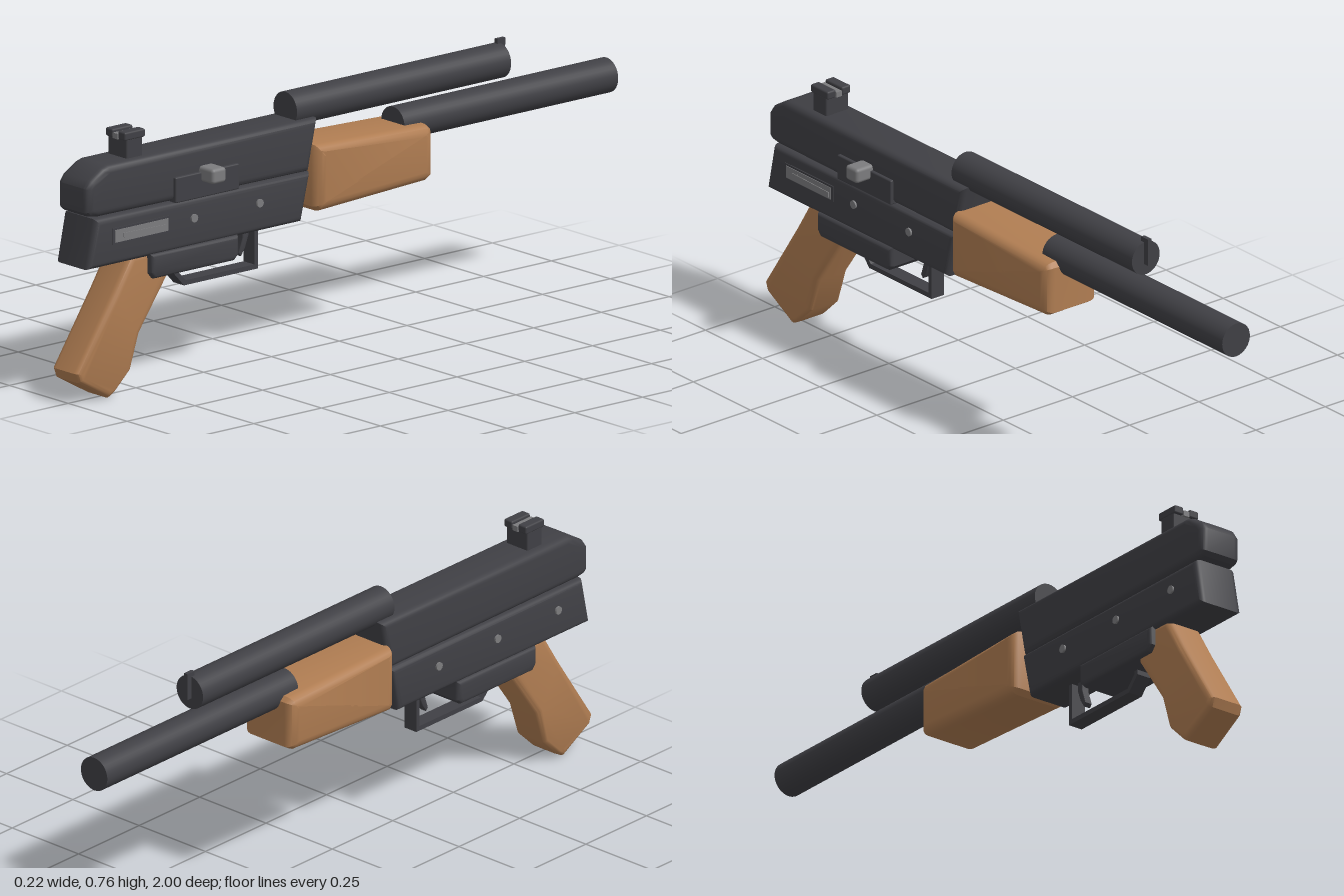
import * as THREE from 'three';
import { toCreasedNormals } from 'three/addons/utils/BufferGeometryUtils.js';
import { RoundedBoxGeometry } from 'three/addons/geometries/RoundedBoxGeometry.js';

const MID = -0.016; // the body's centre plane in x

function material(name, color) {
  const m = new THREE.MeshStandardMaterial({ color });
  m.name = name;
  return m;
}

export function createModel() {
  const model = new THREE.Group();
  model.name = 'pistol';
  const dark = material('dark metal', 0x404045);
  const wood = material('wood', 0xb07d52);
  const grey = material('grey metal', 0x7c7c7e);

  function add(name, geometry, mat, x = 0, y = 0, z = 0) {
    const mesh = new THREE.Mesh(geometry, mat);
    mesh.name = name;
    mesh.position.set(x, y, z);
    model.add(mesh);
    return mesh;
  }

  // Side outline of [z, y] points, extruded across x with rounded edges
  function slab(name, points, width, mat, bevel, x = MID) {
    const shape = new THREE.Shape(points.map(p => new THREE.Vector2(p[0], p[1])));
    const g = new THREE.ExtrudeGeometry(shape, {
      depth: width - 2 * bevel, bevelEnabled: bevel > 0, bevelSize: bevel,
      bevelThickness: bevel, bevelOffset: -bevel, bevelSegments: 4, curveSegments: 6,
    });
    g.translate(0, 0, -(width - 2 * bevel) / 2);
    g.rotateY(-Math.PI / 2);
    return add(name, toCreasedNormals(g, 0.6), mat, x);
  }

  function box(name, w, h, d, mat, x, y, z) {
    return add(name, new THREE.BoxGeometry(w, h, d), mat, x, y, z);
  }

  // Receiver halves
  slab('upperReceiver', [[0.97, 0.55], [0.97, 0.62], [0.955, 0.642], [0.91, 0.67], [0.89, 0.676],
    [0.118, 0.676], [0.15, 0.526], [0.93, 0.533], [0.958, 0.538]], 0.133, dark, 0.02);
  slab('lowerReceiver', [[0.943, 0.53], [0.972, 0.388], [0.182, 0.388], [0.15, 0.526]],
    0.143, dark, 0.018);

  // Housing above the trigger guard
  slab('triggerHousing', [[0.745, 0.395], [0.745, 0.34], [0.73, 0.322], [0.435, 0.322],
    [0.42, 0.337], [0.42, 0.395]], 0.155, dark, 0.014);

  // Wooden grip and fore-end
  slab('grip', [[0.80, 0.40], [0.863, 0.298], [1.0, 0.09], [0.99, 0.062], [0.88, 0.0],
    [0.858, 0.012], [0.80, 0.067], [0.767, 0.169], [0.665, 0.314], [0.64, 0.40]], 0.117, wood, 0.02);
  slab('foreEnd', [[0.14, 0.603], [-0.272, 0.589], [-0.285, 0.576], [-0.285, 0.44], [-0.265, 0.428],
    [0.13, 0.41], [0.145, 0.425], [0.145, 0.59]], 0.187, wood, 0.03);

  // Two parallel tubes
  for (const [name, y, z0, z1] of [['upperBarrel', 0.70, 0.185, -0.605], ['lowerBarrel', 0.586, -0.212, -1]]) {
    const g = new THREE.CylinderGeometry(0.05, 0.05, z0 - z1, 32);
    g.rotateX(Math.PI / 2);
    add(name, g, dark, MID, y, (z0 + z1) / 2);
  }

  // Rear sight: block, two ears and a bright bar in the notch
  add('rearSightBase', new RoundedBoxGeometry(0.08, 0.07, 0.06, 2, 0.005), dark, MID, 0.698, 0.775);
  for (const s of [-1, 1]) {
    add('rearSightEar', new RoundedBoxGeometry(0.031, 0.024, 0.076, 2, 0.005), dark, MID + s * 0.0265, 0.74, 0.775);
  }
  box('rearSightBar', 0.02, 0.016, 0.076, grey, MID, 0.735, 0.775);

  // Front sight blade
  box('frontSight', 0.012, 0.08, 0.018, dark, MID, 0.723, -0.612);
  box('frontSightTop', 0.012, 0.02, 0.03, dark, MID, 0.753, -0.607);

  // Bolt cover and handle on the left side
  add('boltCover', new RoundedBoxGeometry(0.03, 0.074, 0.235, 2, 0.004), dark, 0.045, 0.564, 0.5375);
  add('boltHandle', new RoundedBoxGeometry(0.065, 0.044, 0.052, 3, 0.01), grey, 0.0765, 0.595, 0.535);

  // Selector plate with its sloped lever
  box('selectorFrame', 0.004, 0.048, 0.21, dark, 0.0565, 0.472, 0.78);
  box('selectorPlate', 0.006, 0.036, 0.195, grey, 0.0575, 0.472, 0.78);
  slab('selectorLever', [[0.85, 0.478], [0.85, 0.466], [0.69, 0.458], [0.69, 0.474]], 0.006, grey, 0, 0.06);

  // Cross pins through the lower receiver
  for (const z of [0.343, 0.585, 0.835]) {
    const g = new THREE.CylinderGeometry(0.012, 0.012, 0.154, 16);
    g.rotateZ(Math.PI / 2);
    add('crossPin', g, grey, MID, 0.472, z);
  }

  // Trigger guard strap and trigger
  slab('triggerGuard', [[0.617, 0.33], [0.617, 0.308], [0.578, 0.266], [0.305, 0.266], [0.305, 0.395],
    [0.319, 0.395], [0.319, 0.28], [0.572, 0.28], [0.603, 0.313], [0.603, 0.33]], 0.045, dark, 0);
  slab('trigger', [[0.352, 0.395], [0.352, 0.36], [0.366, 0.318], [0.358, 0.308], [0.343, 0.33],
    [0.33, 0.365], [0.33, 0.395]], 0.024, dark, 0.003);

  return model;
}
